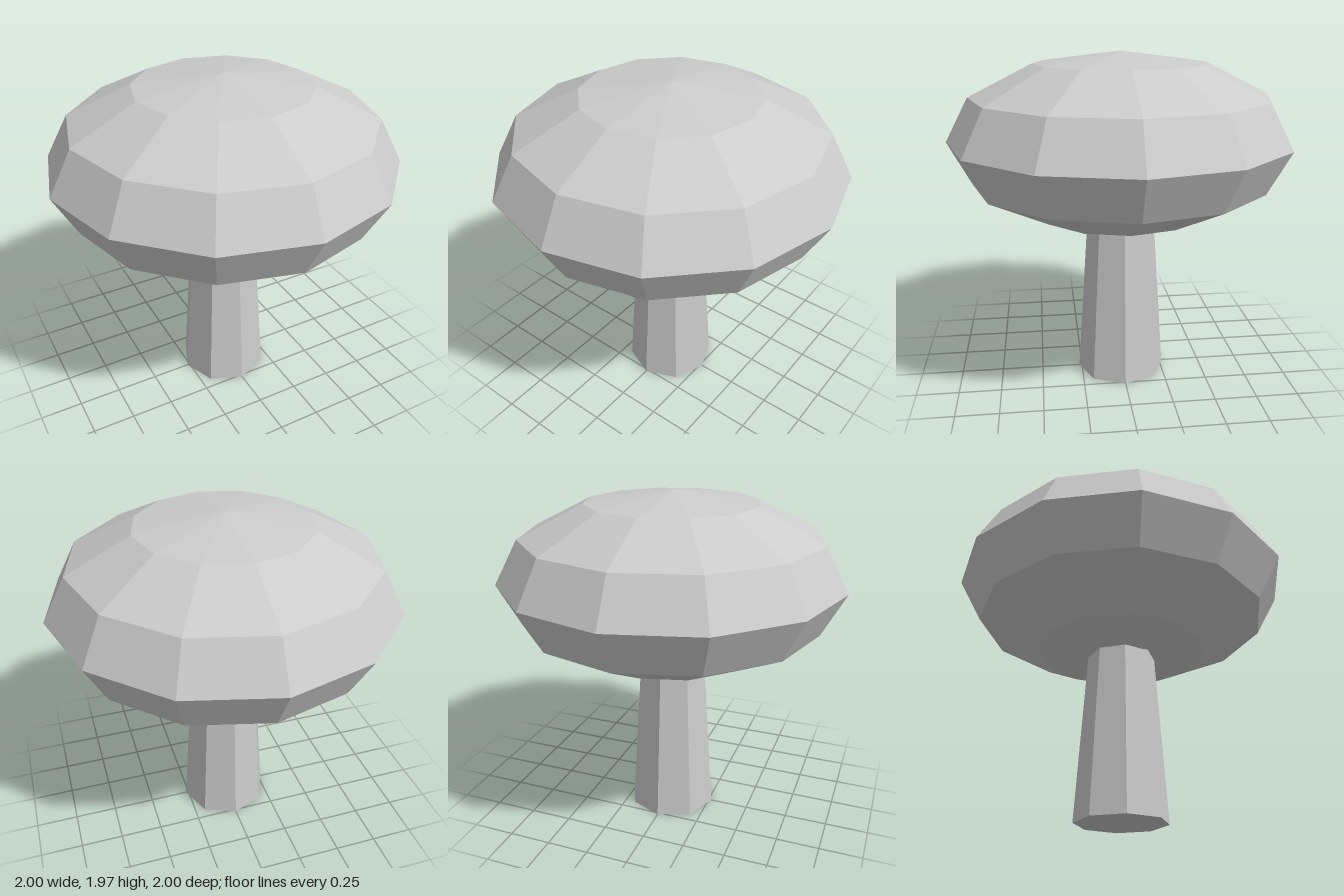
import * as THREE from 'three';

export function createModel() {
  const model = new THREE.Group();
  model.name = 'mushroom';

  const paleGrey = new THREE.MeshStandardMaterial({ color: 0xcccccc, flatShading: true });
  paleGrey.name = 'paleGrey';

  // Tapered eight-sided stem, its top just buried in the cap
  const stem = new THREE.Mesh(new THREE.CylinderGeometry(0.2, 0.267, 1, 8), paleGrey);
  stem.name = 'stem';
  stem.position.y = 0.5;

  // Flattened faceted cap
  const capGeometry = new THREE.SphereGeometry(1, 12, 6);
  capGeometry.scale(1, 0.5, 1);
  const cap = new THREE.Mesh(capGeometry, paleGrey);
  cap.name = 'cap';
  cap.position.y = 1.465;

  model.add(stem, cap);
  return model;
}
